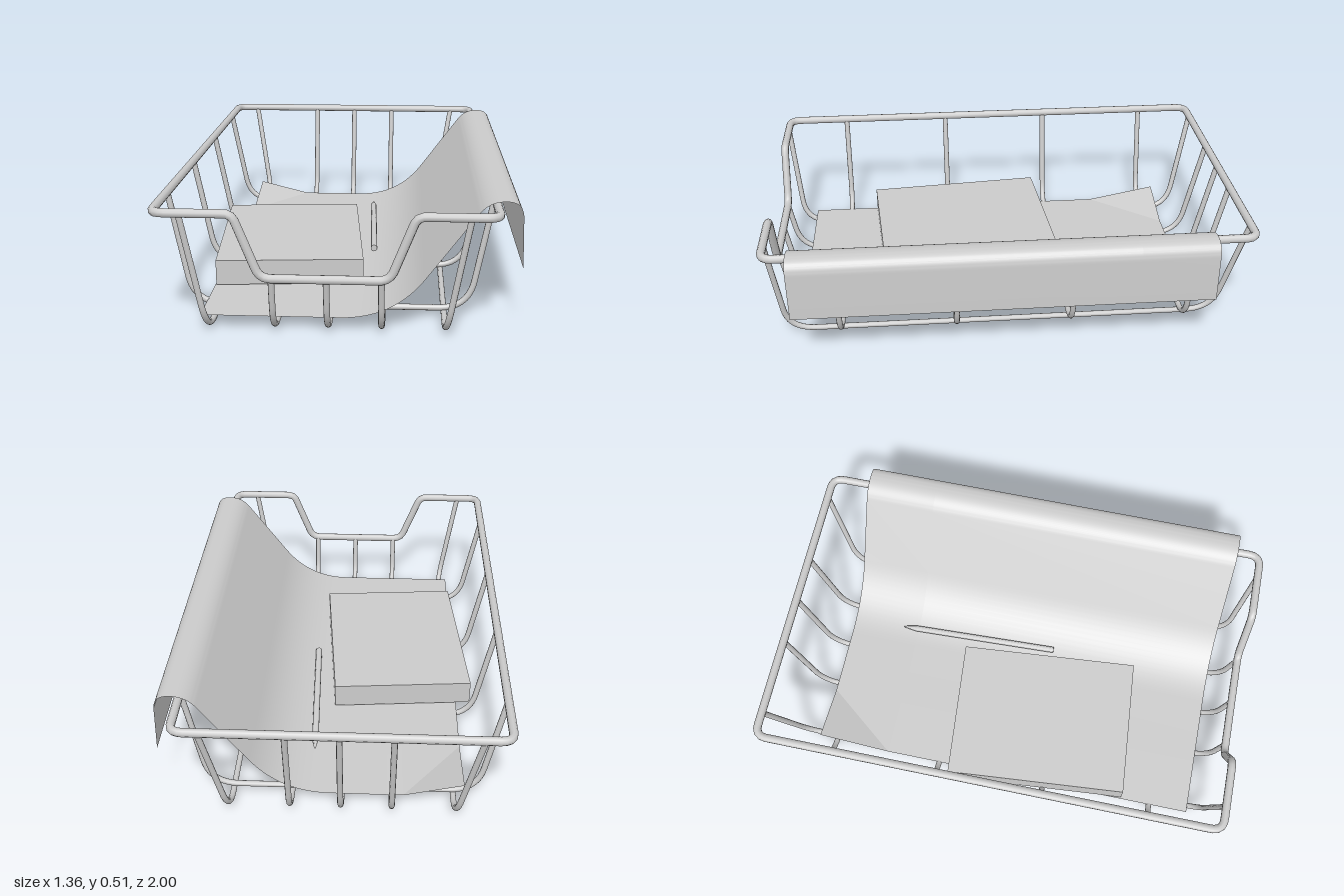
import * as THREE from 'three';
import { toCreasedNormals } from 'three/addons/utils/BufferGeometryUtils.js';

const V = (x, y, z) => new THREE.Vector3(x, y, z);
const grey = new THREE.MeshStandardMaterial({ color: 0xcccccc });
const clothGrey = new THREE.MeshStandardMaterial({ color: 0xcccccc, side: THREE.DoubleSide });

// Polyline with its corners rounded; trim is the length cut off beside each corner
function roundedPath(points, trim, closed = false) {
  const path = new THREE.CurvePath();
  const n = points.length;
  const towards = (p, q, d) => p.clone().add(q.clone().sub(p).setLength(d));
  const trimAt = (i) => (Array.isArray(trim) ? trim[i] : trim);
  let last = closed ? null : points[0];
  let first = null;
  for (let i = closed ? 0 : 1; i < (closed ? n : n - 1); i++) {
    const p = points[i];
    const a = towards(p, points[(i + n - 1) % n], trimAt(i));
    const b = towards(p, points[(i + 1) % n], trimAt(i));
    if (last) path.add(new THREE.LineCurve3(last, a));
    else first = a;
    path.add(new THREE.QuadraticBezierCurve3(a, p, b));
    last = b;
  }
  path.add(new THREE.LineCurve3(last, closed ? first : points[n - 1]));
  return path;
}

function wire(name, path, radius, segments, closed = false) {
  const mesh = new THREE.Mesh(new THREE.TubeGeometry(path, segments, radius, 10, closed), grey);
  mesh.name = name;
  return mesh;
}

function createBasket() {
  const basket = new THREE.Group();
  basket.name = 'wireBasket';
  const top = 0.487, left = 0.583, right = -0.663, end = 0.982;

  // Rim with the lowered front opening
  const rim = [
    V(right, top, -end), V(right, top, end),
    V(-0.37, top, end), V(-0.275, 0.245, end), V(0.195, 0.245, end), V(0.29, top, end),
    V(left, top, end), V(left, top, -end),
  ];
  const trims = [0.05, 0.05, 0.03, 0.04, 0.04, 0.03, 0.05, 0.05];
  basket.add(wire('rim', roundedPath(rim, trims, true), 0.017, 360, true));

  // Wires running from side to side
  for (const z of [-0.745, -0.26, 0.225, 0.71]) {
    const points = [V(right, top, z), V(-0.575, 0.035, z), V(0.495, 0.035, z), V(left, top, z)];
    basket.add(wire('crossWire', roundedPath(points, 0.115), 0.012, 90));
  }

  // Wires running from back to front; the outer two lean outwards
  const longWires = [[-0.482, -0.08], [-0.235, 0], [-0.035, 0], [0.165, 0], [0.402, 0.08]];
  for (const [x, lean] of longWires) {
    const frontTop = lean ? top : 0.245;
    const points = [
      V(x + lean, top, -end), V(x, 0.017, -0.885),
      V(x, 0.017, 0.935), V(x + lean, frontTop, end - (lean ? 0 : 0.005)),
    ];
    basket.add(wire('longWire', roundedPath(points, 0.115), 0.012, 120));
  }
  return basket;
}

// Sheet lying on the floor of the basket and hanging over its left rim
function createCloth() {
  const curve = roundedPath(
    [V(-0.28, 0.055, 0), V(0.207, 0.055, 0), V(0.549, 0.517, 0), V(0.672, 0.517, 0), V(0.68, 0.265, 0)],
    [0, 0.2, 0.06, 0.06, 0]);
  const profile = [V(-0.52, 0.055, 0)];
  for (const part of curve.curves) {
    const steps = part.isLineCurve3 ? 1 : 14;
    for (let i = 0; i < steps; i++) profile.push(part.getPoint(i / steps));
  }
  profile.push(V(0.68, 0.265, 0));

  const rows = [-0.81, -0.5, 0.88];
  const columns = profile.length;
  const geometry = new THREE.PlaneGeometry(1, 1, columns - 1, rows.length - 1);
  const position = geometry.attributes.position;
  for (let i = 0; i < position.count; i++) {
    const p = profile[i % columns];
    position.setXYZ(i, p.x, p.y, rows[Math.floor(i / columns)]);
  }
  // Turned-up back corner
  position.setY(0, 0.115);
  const mesh = new THREE.Mesh(toCreasedNormals(geometry, 0.25), clothGrey);
  mesh.name = 'cloth';
  return mesh;
}

function createBook() {
  const book = new THREE.Mesh(new THREE.BoxGeometry(0.597, 0.103, 0.783), grey);
  book.name = 'book';
  book.position.set(-0.249, 0.112, 0.166);
  book.rotation.y = 0.084;
  return book;
}

function createPen() {
  const tip = V(0.085, 0.08, -0.57), tail = V(0.112, 0.08, 0.15);
  const axis = tip.clone().sub(tail);
  const length = axis.length();
  const outline = [[0, 0], [0.014, 0], [0.014, length - 0.06], [0.004, length - 0.005], [0, length]];
  const lathe = new THREE.LatheGeometry(outline.map(([r, y]) => new THREE.Vector2(r, y)), 12);
  const pen = new THREE.Mesh(toCreasedNormals(lathe, 0.6), grey);
  pen.name = 'pen';
  pen.position.copy(tail);
  pen.quaternion.setFromUnitVectors(V(0, 1, 0), axis.normalize());
  return pen;
}

export function createModel() {
  const model = new THREE.Group();
  model.name = 'basketWithCloth';
  model.add(createBasket(), createCloth(), createBook(), createPen());
  return model;
}
